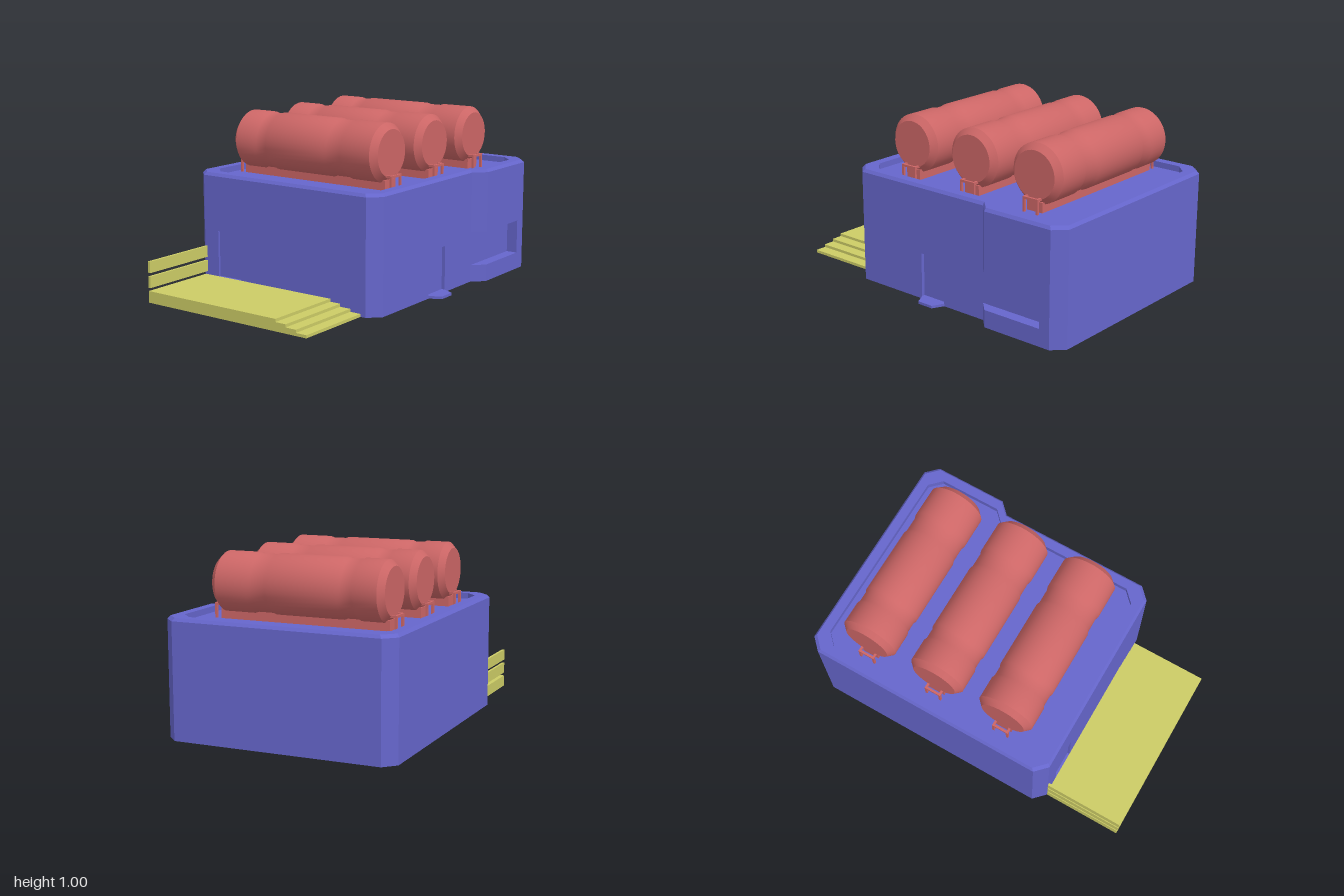
import * as THREE from 'three';
import { toCreasedNormals } from 'three/addons/utils/BufferGeometryUtils.js';

const mat = (color, extra = {}) => new THREE.MeshStandardMaterial({ color, ...extra });
const blue = mat(0x6666cc);
const red = mat(0xcc6666);
const yellow = mat(0xcccc66);

const FLOOR = 0.633; // sunken roof floor
const EAVE = 0.65;
const TOP = 0.667;

function mesh(name, geometry, material, parent) {
  const m = new THREE.Mesh(geometry, material);
  m.name = name;
  parent.add(m);
  return m;
}

// Box given by its minimum and maximum corners
function box(name, [x0, y0, z0], [x1, y1, z1], material, parent) {
  const m = mesh(name, new THREE.BoxGeometry(x1 - x0, y1 - y0, z1 - z0), material, parent);
  m.position.set((x0 + x1) / 2, (y0 + y1) / 2, (z0 + z1) / 2);
  return m;
}

// Flat plan of [x, z] points raised from y0 to y1
function slab(name, plan, y0, y1, material, parent) {
  const shape = new THREE.Shape(plan.map(([x, z]) => new THREE.Vector2(x, -z)));
  const g = new THREE.ExtrudeGeometry(shape, { depth: y1 - y0, bevelEnabled: false });
  g.rotateX(-Math.PI / 2).translate(0, y0, 0);
  return mesh(name, g, material, parent);
}

// Building plan, with optional door recesses and side bay cut away
function wallPlan({ frontDoor, sideDoor, bay } = {}) {
  return [
    [-0.6, 0.533],
    ...(frontDoor ? [[-0.5, 0.533], [-0.5, 0.52], [-0.333, 0.52], [-0.333, 0.533]] : []),
    [0.533, 0.533], [0.6, 0.467],
    ...(sideDoor ? [[0.6, 0.017], [0.58, 0.017], [0.58, -0.15], [0.6, -0.15]] : []),
    ...(bay ? [[0.6, -0.867], [0.667, -0.867]] : [[0.6, -0.433], [0.667, -0.5]]),
    [0.667, -0.933], [0.6, -1], [-0.6, -1], [-0.667, -0.933], [-0.667, 0.467],
  ];
}

// Plain plan moved inwards by d
const insetPlan = (d) => wallPlan().map(([x, z]) => [
  x - Math.sign(x) * d,
  z > 0 ? z - d : z < -0.6 ? z + d : z,
]);

// Roof edge: bevel, flat rim and inner drop, lofted through stacked loops
function rimGeometry() {
  const loops = [[0, FLOOR], [0, EAVE], [0.013, TOP], [0.067, TOP], [0.067, FLOOR]]
    .map(([d, y]) => insetPlan(d).map(([x, z]) => [x, y, z]));
  const pos = [];
  for (let j = 0; j < loops.length - 1; j++) {
    const lo = loops[j], hi = loops[j + 1], n = lo.length;
    for (let i = 0; i < n; i++) {
      const k = (i + 1) % n;
      pos.push(...lo[i], ...lo[k], ...hi[k], ...lo[i], ...hi[k], ...hi[i]);
    }
  }
  const g = new THREE.BufferGeometry();
  g.setAttribute('position', new THREE.Float32BufferAttribute(pos, 3));
  g.computeVertexNormals();
  return g;
}

function buildBuilding() {
  const g = new THREE.Group();
  g.name = 'building';
  // Wall courses, split wherever an opening starts or ends
  const levels = [0, 0.015, 0.067, 0.1, 0.27, 0.3, 0.333, FLOOR];
  for (let i = 0; i < levels.length - 1; i++) {
    const y = (levels[i] + levels[i + 1]) / 2;
    const plan = wallPlan({
      frontDoor: y > 0.067 && y < 0.333,
      sideDoor: y > 0.015 && y < 0.27,
      bay: y > 0.1 && y < 0.3,
    });
    slab('wallCourse', plan, levels[i], levels[i + 1], blue, g);
  }
  mesh('roofRim', rimGeometry(), blue, g);
  slab('sideDoorstep', [[0.6, 0.017], [0.667, -0.017], [0.667, -0.117], [0.6, -0.15]], 0, 0.015, blue, g);
  return g;
}

// Lying tank with two shallow grooves, on a skid with end handles
function buildTank(z) {
  const g = new THREE.Group();
  g.name = 'tank';
  g.position.z = z;

  const R = 0.165, r = 0.158;
  const profile = [
    [0, -0.533], [0.132, -0.533], [R, -0.5], [R, -0.37], [r, -0.355], [r, -0.29], [R, -0.275],
    [R, 0.12], [r, 0.14], [r, 0.23], [R, 0.25], [R, 0.433], [0.132, 0.467], [0, 0.467],
  ].map(([rad, x]) => new THREE.Vector2(rad, x));
  const body = toCreasedNormals(new THREE.LatheGeometry(profile, 40), 0.5);
  body.rotateZ(-Math.PI / 2);
  mesh('tankBody', body, red, g).position.y = 0.833;

  box('skid', [-0.527, FLOOR, -0.05], [0.46, 0.69, 0.05], red, g);

  // Handle frames beyond both ends
  const t = 0.013, top = 0.717;
  for (const s of [-1, 1]) {
    const handle = new THREE.Group();
    handle.name = 'handle';
    const span = (a, b) => (s < 0 ? [-0.033 - b, -0.033 - a] : [-0.033 + a, -0.033 + b]);
    const [o0, o1] = span(0.533 - t, 0.533);
    const [a0, a1] = span(0.45, 0.533 - t);
    box('handleBar', [o0, top - t, -0.05], [o1, top, 0.05], red, handle);
    for (const c of [-0.05, 0.05 - t]) {
      box('handleLeg', [o0, FLOOR, c], [o1, top - t, c + t], red, handle);
      box('handleArm', [a0, top - t, c], [a1, top, c + t], red, handle);
    }
    g.add(handle);
  }
  return g;
}

// Front deck with steps down on one side and a two-plank rail on the other
function buildDeck() {
  const g = new THREE.Group();
  g.name = 'deck';
  const z0 = 0.533, z1 = 1;
  const outline = [[-0.6, 0], [0.5, 0]];
  for (let i = 0; i < 4; i++) {
    const y = (i + 1) / 60;
    outline.push([0.5 - i / 15, y], [i < 3 ? 0.5 - (i + 1) / 15 : -0.6, y]);
  }
  const shape = new THREE.Shape(outline.map(([x, y]) => new THREE.Vector2(x, y)));
  const geo = new THREE.ExtrudeGeometry(shape, { depth: z1 - z0, bevelEnabled: false });
  mesh('deckAndSteps', geo.translate(0, 0, z0), yellow, g);
  for (const y of [0.085, 0.17]) {
    box('railPlank', [-0.6, y, z0], [-0.585, y + 0.065, z1], yellow, g);
  }
  return g;
}

export function createModel() {
  const model = new THREE.Group();
  model.name = 'tankBuilding';
  model.add(buildBuilding(), buildDeck());
  for (const z of [0.2, -0.233, -0.667]) model.add(buildTank(z));
  return model;
}
